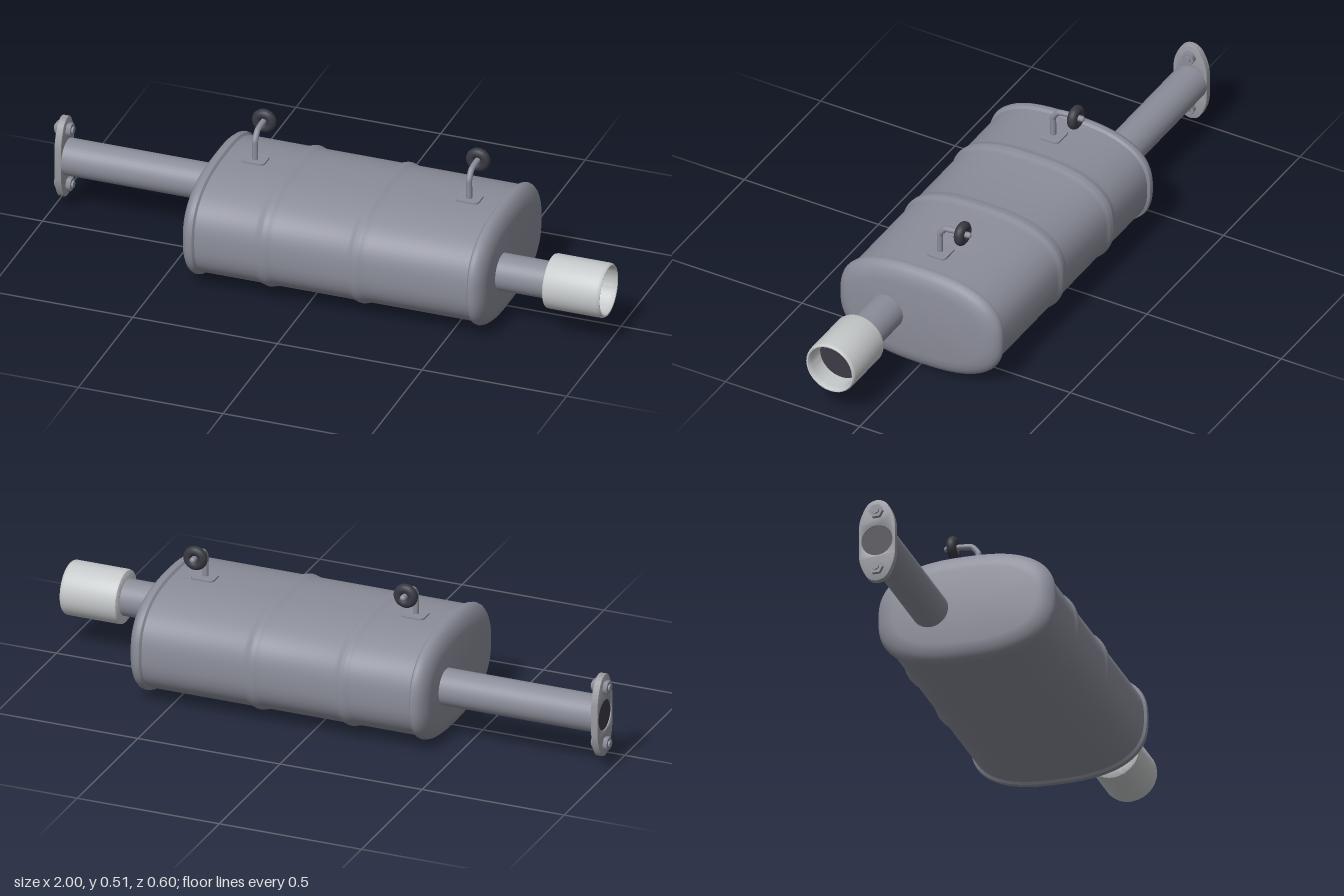
import * as THREE from 'three';
import { toCreasedNormals } from 'three/addons/utils/BufferGeometryUtils.js';

const steel = new THREE.MeshStandardMaterial({ color: 0x8b8d99 });
steel.name = 'steel';
const flangeSteel = new THREE.MeshStandardMaterial({ color: 0x9a9ba2 });
flangeSteel.name = 'flange steel';
const polished = new THREE.MeshStandardMaterial({ color: 0xc6c9ca });
polished.name = 'polished steel';
const rubber = new THREE.MeshStandardMaterial({ color: 0x383842 });
rubber.name = 'black rubber';
const soot = new THREE.MeshStandardMaterial({ color: 0x3c3b46 });
soot.name = 'soot';

const AXIS_Y = 0.19, IN_Z = -0.115, OUT_Z = 0.112;

function add(parent, name, geometry, material, x = 0, y = 0, z = 0) {
  const mesh = new THREE.Mesh(geometry, material);
  mesh.name = name;
  mesh.position.set(x, y, z);
  parent.add(mesh);
  return mesh;
}

// Cylinder lying along x between two positions
function rod(parent, name, x0, x1, r, material, y, z, sides = 40) {
  const g = new THREE.CylinderGeometry(r, r, x1 - x0, sides).rotateZ(-Math.PI / 2);
  return add(parent, name, g, material, (x0 + x1) / 2, y, z);
}

// Loft of rounded oval sections along x; profile rows are [x, inset]
function ovalLoft(profile, halfZ, halfY, sides = 72, power = 2.6) {
  const pos = [], index = [];
  const bend = (v) => Math.sign(v) * Math.pow(Math.abs(v), 2 / power);
  for (const [x, inset] of profile) {
    const a = Math.max(halfZ - inset, 0), b = Math.max(halfY - inset, 0);
    for (let j = 0; j < sides; j++) {
      const t = (j / sides) * Math.PI * 2;
      pos.push(x, b * bend(Math.sin(t)), a * bend(Math.cos(t)));
    }
  }
  for (let i = 0; i < profile.length - 1; i++) {
    for (let j = 0; j < sides; j++) {
      const k = (j + 1) % sides, p = i * sides, q = p + sides;
      index.push(p + j, q + j, q + k, p + j, q + k, p + k);
    }
  }
  const g = new THREE.BufferGeometry();
  g.setAttribute('position', new THREE.Float32BufferAttribute(pos, 3));
  g.setIndex(index);
  return toCreasedNormals(g, 0.65);
}

function mufflerProfile() {
  // Rounded end cap with a rolled seam, measured inwards from its face
  const cap = [[0, 1], [0, 0.06], [0.003, 0.042], [0.009, 0.025], [0.018, 0.011],
    [0.028, 0.003], [0.038, 0], [0.048, 0.002], [0.054, 0.01]];
  const rows = cap.map(([d, i]) => [-0.42 + d, i]);
  // Two shallow ribs around the shell
  for (const x of [-0.13, 0.19]) {
    for (let k = -4; k <= 4; k++) {
      rows.push([x + k * 0.008, 0.01 - 0.007 * (0.5 + 0.5 * Math.cos((k / 4) * Math.PI))]);
    }
  }
  return rows.concat(cap.map(([d, i]) => [0.63 - d, i]).reverse());
}

function hanger(x) {
  const g = new THREE.Group();
  g.name = 'hanger';
  g.position.x = x;

  // Rounded weld pad
  const s = new THREE.Shape(), w = 0.04, h = 0.034, r = 0.016;
  s.moveTo(w - r, -h);
  s.absarc(w - r, -h + r, r, -Math.PI / 2, 0);
  s.absarc(w - r, h - r, r, 0, Math.PI / 2);
  s.absarc(-w + r, h - r, r, Math.PI / 2, Math.PI);
  s.absarc(-w + r, -h + r, r, Math.PI, Math.PI * 1.5);
  s.closePath();
  const pad = new THREE.ExtrudeGeometry(s, { depth: 0.012, bevelEnabled: false, curveSegments: 6 });
  add(g, 'hangerPad', pad.rotateX(-Math.PI / 2), steel, 0, 0.363, -0.004);

  // Bent rod with a round end
  const path = new THREE.CatmullRomCurve3([[0.365, 0], [0.41, 0], [0.443, 0], [0.468, -0.02],
    [0.473, -0.06], [0.473, -0.106]].map(([y, z]) => new THREE.Vector3(0, y, z)), false, 'catmullrom', 0.2);
  add(g, 'hangerRod', new THREE.TubeGeometry(path, 30, 0.01, 14), steel);
  add(g, 'hangerRodEnd', new THREE.SphereGeometry(0.0105, 14, 10), steel, 0, 0.473, -0.106);

  // Rubber grommet
  add(g, 'rubberMount', new THREE.TorusGeometry(0.025, 0.0165, 16, 32), rubber, 0, 0.472, -0.084);
  return g;
}

function flange() {
  const g = new THREE.Group();
  g.name = 'flange';
  g.position.set(-0.968, AXIS_Y, IN_Z);
  const r = 0.044, c = 0.1;

  // Two-bolt plate: wide middle with rounded ears
  const s = new THREE.Shape();
  s.moveTo(0.062, -0.05);
  s.lineTo(0.062, 0.05);
  s.quadraticCurveTo(0.06, 0.085, r * 0.87, c + r * 0.5);
  s.absarc(0, c, r, Math.PI / 6, Math.PI * 5 / 6);
  s.quadraticCurveTo(-0.06, 0.085, -0.062, 0.05);
  s.lineTo(-0.062, -0.05);
  s.quadraticCurveTo(-0.06, -0.085, -r * 0.87, -c - r * 0.5);
  s.absarc(0, -c, r, Math.PI * 7 / 6, Math.PI * 11 / 6);
  s.quadraticCurveTo(0.06, -0.085, 0.062, -0.05);
  const hole = new THREE.Path();
  hole.absarc(0, 0, 0.052, 0, Math.PI * 2, true);
  s.holes.push(hole);
  const plate = new THREE.ExtrudeGeometry(s, {
    depth: 0.018, bevelSize: 0.003, bevelThickness: 0.003, bevelOffset: -0.003, bevelSegments: 2, curveSegments: 20,
  });
  plate.translate(0, 0, -0.009).rotateY(Math.PI / 2);
  add(g, 'flangePlate', toCreasedNormals(plate, 0.6), flangeSteel);

  // Bolts with a head, a nut and a projecting thread
  for (const y of [-c, c]) {
    rod(g, 'boltShank', -0.032, 0.034, 0.012, steel, y, 0, 16);
    rod(g, 'boltHead', -0.026, -0.01, 0.024, steel, y, 0, 6);
    rod(g, 'boltNut', 0.01, 0.028, 0.024, steel, y, 0, 6);
  }
  return g;
}

export function createModel() {
  const model = new THREE.Group();
  model.name = 'exhaustMuffler';

  add(model, 'mufflerBody', ovalLoft(mufflerProfile(), 0.302, 0.189), steel, 0, AXIS_Y, 0);

  // Inlet pipe, mouth and flange
  rod(model, 'inletPipe', -0.97, -0.41, 0.062, steel, AXIS_Y, IN_Z);
  rod(model, 'inletMouth', -0.976, -0.969, 0.0525, soot, AXIS_Y, IN_Z);
  model.add(flange());

  // Outlet pipe
  rod(model, 'outletPipe', 0.62, 0.83, 0.062, steel, AXIS_Y, OUT_Z);

  // Tail tip: hollow sleeve with rounded lip
  const tip = [[0.05, 0.8], [0.084, 0.8], [0.089, 0.803], [0.091, 0.81], [0.091, 0.988], [0.0895, 0.996],
    [0.086, 1], [0.082, 0.999], [0.079, 0.993], [0.078, 0.98], [0.078, 0.9]];
  const sleeve = new THREE.LatheGeometry(tip.map(([r, x]) => new THREE.Vector2(r, x)), 48).rotateZ(-Math.PI / 2);
  add(model, 'tailTip', toCreasedNormals(sleeve, 0.7), polished, 0, AXIS_Y, OUT_Z);
  rod(model, 'tailTipInside', 0.918, 0.925, 0.0782, soot, AXIS_Y, OUT_Z, 48);

  for (const x of [-0.265, 0.475]) model.add(hanger(x));
  return model;
}
